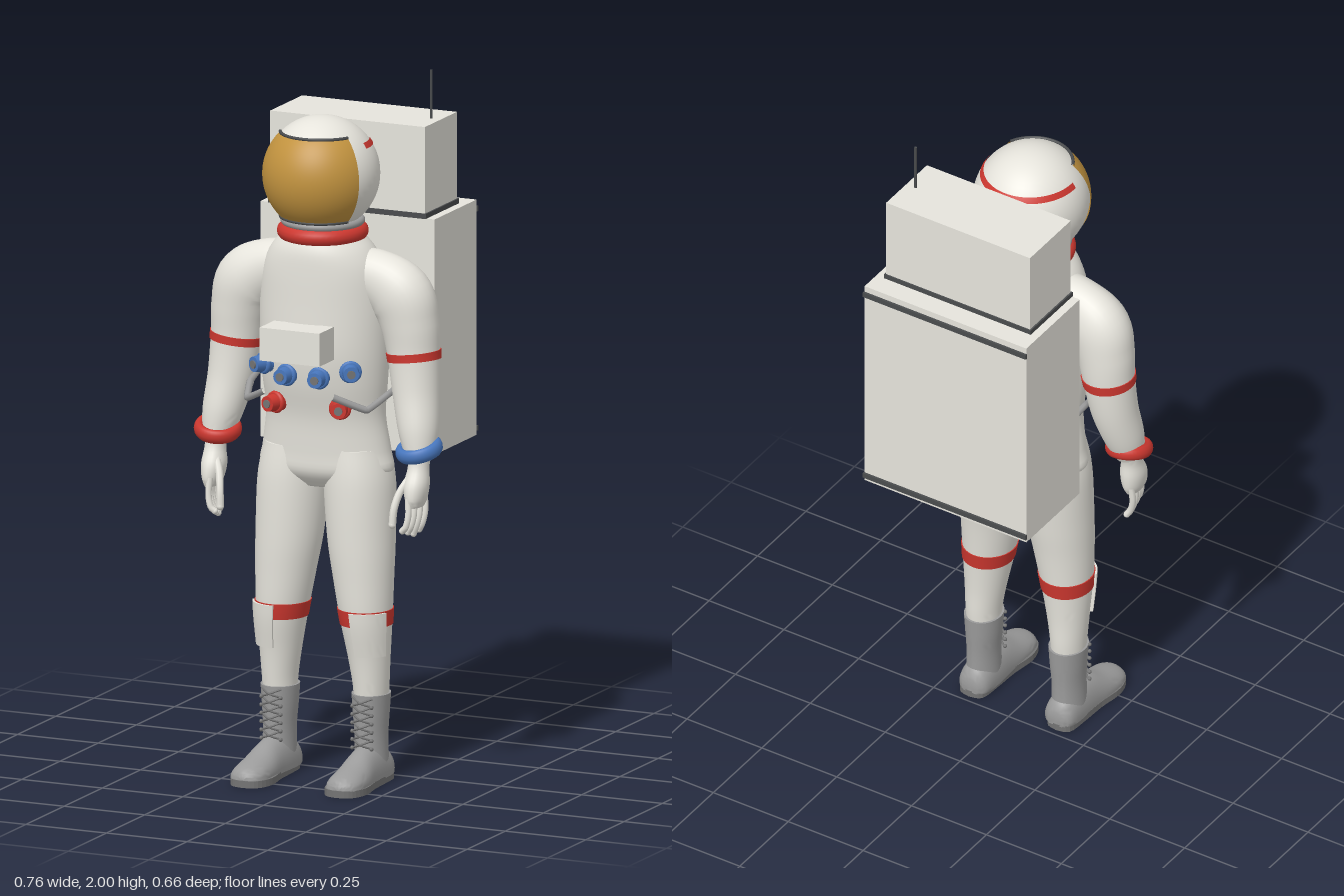
import * as THREE from 'three';
import { toCreasedNormals } from 'three/addons/utils/BufferGeometryUtils.js';

const mat = (name, color, side = THREE.FrontSide) => {
  const m = new THREE.MeshStandardMaterial({ color, side });
  m.name = name;
  return m;
};

// Catmull-Rom interpolation of section rows [x, y, z, ru, rv]
function sample(s, t) {
  const n = s.length - 1, f = Math.min(Math.max(t, 0), 1) * n;
  const i = Math.min(Math.floor(f), n - 1), u = f - i;
  const p = [s[Math.max(i - 1, 0)], s[i], s[i + 1], s[Math.min(i + 2, n)]];
  return s[0].map((_, k) => {
    const [a, b, c, d] = p.map(r => r[k]);
    return b + 0.5 * u * (c - a + u * (2 * a - 5 * b + 4 * c - d + u * (3 * (b - c) + d - a)));
  });
}

// Parameter at which a descending run of sections reaches height y
function tAt(s, y) {
  let lo = 0, hi = 1;
  for (let i = 0; i < 30; i++) {
    const m = (lo + hi) / 2;
    if (sample(s, m)[1] > y) lo = m; else hi = m;
  }
  return lo;
}

// Elliptical loft; grow > 0 makes a raised band or patch, otherwise a capped solid
function loft(s, { t0 = 0, t1 = 1, a0 = 0, a1 = Math.PI * 2, steps = 32, seg = 32, grow = 0,
  axis = null, ref = [0, 0, 1], floor = -1 } = {}) {
  const open = a1 - a0 < 6.28, pos = [], idx = [];
  const ts = [t0], as = open ? [a0] : [];
  for (let i = 0; i <= steps; i++) ts.push(t0 + (t1 - t0) * i / steps);
  ts.push(t1);
  for (let j = 0; j < seg + (open ? 1 : 0); j++) as.push(a0 + (a1 - a0) * j / seg);
  if (open) as.push(a1);
  ts.forEach((t, i) => {
    const c = sample(s, t), p = sample(s, t - 0.01), q = sample(s, t + 0.01);
    const T = axis ? new THREE.Vector3(...axis)
      : new THREE.Vector3(q[0] - p[0], q[1] - p[1], q[2] - p[2]).normalize();
    const V = new THREE.Vector3(...ref).addScaledVector(T, -T.dot(new THREE.Vector3(...ref))).normalize();
    const U = V.clone().cross(T), end = i === 0 || i === ts.length - 1;
    as.forEach((a, j) => {
      const edge = end || (open && (j === 0 || j === as.length - 1));
      const g = grow && !edge ? grow : 0, k = end && !grow ? 0 : 1;
      const v = new THREE.Vector3(c[0], c[1], c[2])
        .addScaledVector(U, (c[3] + g) * k * Math.cos(a)).addScaledVector(V, (c[4] + g) * k * Math.sin(a));
      pos.push(v.x, Math.max(v.y, floor), v.z);
    });
  });
  const n = as.length;
  for (let i = 0; i < ts.length - 1; i++) for (let j = 0; j < (open ? n - 1 : n); j++) {
    const k = (j + 1) % n, A = i * n + j, B = i * n + k;
    idx.push(A, B, A + n, B, B + n, A + n);
  }
  const g = new THREE.BufferGeometry();
  g.setAttribute('position', new THREE.Float32BufferAttribute(pos, 3));
  g.setIndex(idx);
  return toCreasedNormals(g, 0.9);
}

export function createModel() {
  const root = new THREE.Group();
  root.name = 'spacesuit';
  const white = mat('suit white', 0xe6e4dc), red = mat('trim red', 0xcc372f), blue = mat('trim blue', 0x4877be);
  const gold = mat('visor gold', 0xc2933f, THREE.DoubleSide), grey = mat('boot grey', 0x9b9b9b);
  const dark = mat('dark trim', 0x4a4c4e), soleGrey = mat('sole grey', 0x747474);
  const add = (name, geo, m, x = 0, y = 0, z = 0, parent = root) => {
    const mesh = new THREE.Mesh(geo, m);
    mesh.name = name;
    mesh.position.set(x, y, z);
    parent.add(mesh);
    return mesh;
  };
  const vec = p => new THREE.Vector3(...p);
  const tube = (pts, r, n = 16, tension = 0.5) =>
    new THREE.TubeGeometry(new THREE.CatmullRomCurve3(pts.map(vec), false, 'catmullrom', tension), n, r, 8);
  const down = [0, -1, 0];

  // Torso
  add('torso', loft([
    [0, 1.57, 0.112, 0.11, 0.11], [0, 1.53, 0.108, 0.148, 0.128], [0, 1.47, 0.1, 0.178, 0.14],
    [0, 1.38, 0.095, 0.19, 0.146], [0, 1.25, 0.096, 0.19, 0.146], [0, 1.15, 0.096, 0.185, 0.132],
    [0, 1.05, 0.09, 0.178, 0.114], [0, 0.95, 0.083, 0.192, 0.113], [0, 0.89, 0.083, 0.197, 0.108],
    [0, 0.845, 0.085, 0.12, 0.07]], { axis: down, seg: 48, steps: 40 }), white);

  // Helmet, visor and neck rings
  const helmet = new THREE.Group();
  helmet.name = 'helmet';
  helmet.position.set(0, 1.74, 0.118);
  helmet.scale.set(0.163, 0.165, 0.169);
  root.add(helmet);
  add('helmetShell', new THREE.SphereGeometry(1, 48, 32), white, 0, 0, 0, helmet);
  add('visor', new THREE.SphereGeometry(1.02, 40, 24, Math.PI / 2 - 1.13, 2.26, 0.77, 1.6), gold, 0, 0, 0, helmet);
  add('helmetStripe', new THREE.SphereGeometry(1.015, 40, 3, Math.PI - 0.06, Math.PI + 0.12, 0.93, 0.11), red, 0, 0, 0, helmet);
  for (const th of [0.77, 2.37]) {
    const pts = [];
    for (let i = 0; i <= 16; i++) {
      const a = -1.13 + 2.26 * i / 16;
      pts.push([1.02 * Math.sin(a) * Math.sin(th), 1.02 * Math.cos(th), 1.02 * Math.cos(a) * Math.sin(th)]);
    }
    add('visorRim', tube(pts, 0.028, 40), dark, 0, 0, 0, helmet);
  }
  const ring = (name, R, r, m, y) => { add(name, new THREE.TorusGeometry(R, r, 14, 48), m, 0, y, 0.112).rotation.x = Math.PI / 2; };
  ring('neckRing', 0.105, 0.024, red, 1.575);
  ring('helmetBase', 0.108, 0.011, grey, 1.605);

  // Life support pack with antenna
  const box = (name, w, y0, y1, z0, z1, m) =>
    add(name, new THREE.BoxGeometry(w, y1 - y0, z1 - z0), m, 0, (y0 + y1) / 2, (z0 + z1) / 2);
  box('packLower', 0.54, 0.92, 1.597, -0.325, -0.05, white);
  box('packUpper', 0.48, 1.61, 1.86, -0.26, -0.05, white);
  box('packSeam', 0.49, 1.596, 1.611, -0.264, -0.047, dark);
  for (const y of [0.932, 1.563]) box('packStrip', 0.544, y, y + 0.015, -0.332, -0.325, dark);
  add('antenna', new THREE.CylinderGeometry(0.004, 0.004, 0.142, 8), dark, 0.21, 1.929, -0.155);
  box('chestUnit', 0.185, 1.235, 1.33, 0.235, 0.33, white);

  // Limb sections for the left side, top to bottom
  const arm = [[0.08, 1.463, 0.1, 0.07, 0.07], [0.165, 1.448, 0.1, 0.084, 0.07], [0.235, 1.405, 0.098, 0.095, 0.08],
    [0.262, 1.33, 0.095, 0.085, 0.078], [0.274, 1.24, 0.094, 0.075, 0.073], [0.287, 1.13, 0.104, 0.067, 0.068],
    [0.304, 1.03, 0.126, 0.057, 0.06], [0.314, 0.965, 0.142, 0.042, 0.045]];
  const leg = [[0.092, 0.96, 0.083, 0.09, 0.1], [0.102, 0.86, 0.085, 0.101, 0.108], [0.111, 0.7, 0.093, 0.096, 0.1],
    [0.12, 0.59, 0.099, 0.086, 0.09], [0.13, 0.47, 0.102, 0.073, 0.08], [0.137, 0.36, 0.097, 0.059, 0.066],
    [0.141, 0.28, 0.093, 0.05, 0.06], [0.141, 0.22, 0.092, 0.046, 0.055]];
  const palm = [[0.314, 0.97, 0.141, 0.034, 0.036], [0.315, 0.93, 0.15, 0.03, 0.034], [0.314, 0.885, 0.16, 0.035, 0.046],
    [0.315, 0.845, 0.165, 0.028, 0.047], [0.316, 0.822, 0.167, 0.017, 0.038]];
  const foot = [[0.143, 0.03, 0.02, 0.025, 0.03], [0.143, 0.03, 0.04, 0.046, 0.06], [0.143, 0.03, 0.1, 0.05, 0.085],
    [0.145, 0.03, 0.17, 0.05, 0.075], [0.147, 0.025, 0.23, 0.054, 0.053], [0.148, 0.022, 0.285, 0.053, 0.039],
    [0.148, 0.02, 0.315, 0.04, 0.028], [0.148, 0.018, 0.327, 0.018, 0.015]];
  const band = (s, y0, y1, opt) => loft(s, { t0: tAt(s, y1), t1: tAt(s, y0), steps: 6, grow: 0.003, ...opt });

  for (const side of [1, -1]) {
    const part = (name, geo, m) => {
      if (side < 0) { // mirror and restore winding
        geo = geo.index ? geo.toNonIndexed() : geo;
        geo.scale(-1, 1, 1);
        for (const a of Object.values(geo.attributes)) for (let i = 0; i < a.count; i += 3)
          for (let k = 0; k < a.itemSize; k++) {
            const t = a.getComponent(i + 1, k);
            a.setComponent(i + 1, k, a.getComponent(i + 2, k));
            a.setComponent(i + 2, k, t);
          }
      }
      return add((side > 0 ? 'left ' : 'right ') + name, geo, m);
    };

    // Arm, stripe and wrist ring
    part('arm', loft(arm, { steps: 40 }), white);
    part('armStripe', band(arm, 1.225, 1.25), red);
    const wrist = new THREE.TorusGeometry(0.053, 0.015, 12, 40);
    wrist.scale(1, 1, 1.4).rotateX(Math.PI / 2 + 0.26).rotateZ(0.14).translate(0.312, 0.98, 0.14);
    part('wristRing', wrist, side > 0 ? blue : red);

    // Glove
    part('palm', loft(palm, { steps: 16, seg: 20, axis: down }), white);
    for (let k = 0; k < 4; k++) {
      const z = 0.13 + 0.024 * k, x = 0.325 - 0.006 * k, y = 0.74 + 0.008 * Math.abs(k - 1);
      part('finger', tube([[x, 0.85, z], [x + 0.003, 0.805, z + 0.004], [x - 0.004, 0.77, z + 0.006], [x - 0.016, y, z + 0.003]], 0.0095), white);
      part('fingertip', new THREE.SphereGeometry(0.0095, 10, 8).translate(x - 0.016, y, z + 0.003), white);
    }
    part('thumb', tube([[0.3, 0.905, 0.175], [0.28, 0.865, 0.198], [0.27, 0.82, 0.215], [0.267, 0.775, 0.22]], 0.011), white);
    part('thumbTip', new THREE.SphereGeometry(0.011, 10, 8).translate(0.267, 0.775, 0.22), white);

    // Leg, knee stripe and knee pad
    part('leg', loft(leg, { axis: down, steps: 40 }), white);
    part('kneeStripe', band(leg, 0.455, 0.5, { axis: down }), red);
    part('kneePad', band(leg, 0.37, 0.497, { axis: down, grow: 0.009, a0: 0.35, a1: 1.7, seg: 12 }), white);

    // Boot
    part('bootShaft', loft([[0.141, 0.255, 0.092, 0.054, 0.064], [0.141, 0.2, 0.092, 0.05, 0.061],
      [0.142, 0.13, 0.093, 0.045, 0.058], [0.143, 0.05, 0.095, 0.047, 0.06]], { axis: down, steps: 14 }), grey);
    part('bootFoot', loft(foot, { axis: [0, 0, 1], ref: [0, 1, 0], steps: 24, floor: 0.015 }), grey);
    const outline = new THREE.Shape(new THREE.SplineCurve([[0, 0.018], [0.038, 0.033], [0.046, 0.1], [0.05, 0.18], [0.06, 0.26],
      [0.042, 0.315], [0, 0.331], [-0.042, 0.315], [-0.06, 0.26], [-0.05, 0.18], [-0.046, 0.1], [-0.038, 0.033], [0, 0.018]]
      .map(p => new THREE.Vector2(...p))).getPoints(48));
    part('sole', new THREE.ExtrudeGeometry(outline, { depth: 0.02, bevelEnabled: false })
      .rotateX(Math.PI / 2).translate(0.146, 0.02, 0), soleGrey);

    // Criss-cross laces
    for (let k = 0; k < 6; k++) for (const d of [1, -1]) {
      const y = 0.105 + 0.024 * k;
      part('lace', tube([[0.141 - 0.03 * d, y, 0.15], [0.141, y + 0.012, 0.167], [0.141 + 0.03 * d, y + 0.024, 0.15]], 0.003, 8), soleGrey);
      part('laceHook', new THREE.SphereGeometry(0.006, 8, 6).translate(0.141 + 0.03 * d, y, 0.154), soleGrey);
    }

    // Chest connectors
    for (const [x, y, z, yaw, m] of [[0.05, 1.18, 0.245, 0.1, blue], [0.135, 1.2, 0.215, 0.5, blue], [0.1, 1.09, 0.21, 0.3, red]]) {
      const place = g => g.rotateY(yaw).translate(x, y, z);
      part('connector', place(new THREE.CylinderGeometry(0.022, 0.028, 0.07, 20).rotateX(Math.PI / 2)), m);
      part('connectorCollar', place(new THREE.TorusGeometry(0.024, 0.008, 8, 24)), m);
      part('connectorCap', place(new THREE.CylinderGeometry(0.012, 0.012, 0.008, 16).rotateX(Math.PI / 2).translate(0, 0, 0.035)), soleGrey);
    }

    // Control arm from the pack
    part('controlArm', tube([[0.165, 1.1, -0.055], [0.218, 1.135, -0.005], [0.222, 1.145, 0.05], [0.212, 1.125, 0.14],
      [0.185, 1.095, 0.215], [0.105, 1.135, 0.268]], 0.01, 60, 0.1), grey);
  }
  return root;
}
